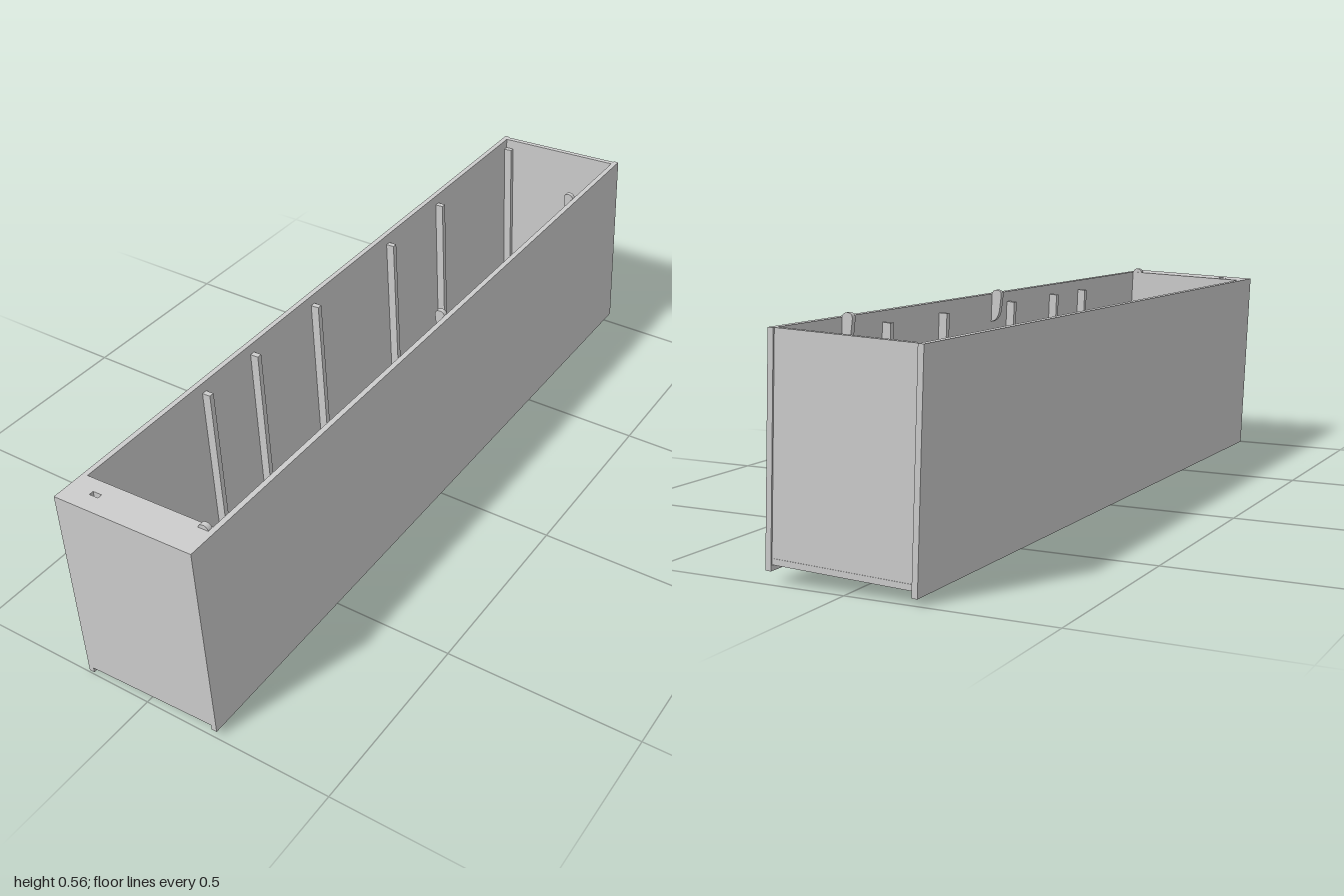
import * as THREE from 'three';

const W = 0.374, H = 0.52, L = 1.996, T = 0.014; // outer size and board thickness
const material = new THREE.MeshStandardMaterial({ color: 0xcccccc, flatShading: true });

function add(parent, name, geometry, x, y, z) {
  const mesh = new THREE.Mesh(geometry, material);
  mesh.name = name;
  mesh.position.set(x, y, z);
  parent.add(mesh);
  return mesh;
}

// board given by its lower and upper limits on each axis
function board(parent, name, [x0, x1], [y0, y1], [z0, z1]) {
  return add(parent, name, new THREE.BoxGeometry(x1 - x0, y1 - y0, z1 - z0),
    (x0 + x1) / 2, (y0 + y1) / 2, (z0 + z1) / 2);
}

// small hook plate with a rounded head and a tapered foot, against the wall at x = 0
function hookGeometry() {
  const s = new THREE.Shape();
  s.moveTo(0, 0.447);
  s.lineTo(0, 0.522);
  s.quadraticCurveTo(-0.004, 0.531, -0.012, 0.531);
  s.quadraticCurveTo(-0.027, 0.531, -0.027, 0.518);
  s.lineTo(-0.023, 0.475);
  s.quadraticCurveTo(-0.018, 0.45, 0, 0.447);
  return new THREE.ExtrudeGeometry(s, { depth: 0.013, bevelEnabled: false, curveSegments: 6 });
}

// lid of the front compartment with a small finger slot
function lidGeometry(width, depth) {
  const s = new THREE.Shape();
  s.moveTo(0, 0).lineTo(width, 0).lineTo(width, depth).lineTo(0, depth).closePath();
  const slot = new THREE.Path();
  slot.moveTo(0.048, 0.03).lineTo(0.048, 0.042).lineTo(0.072, 0.042).lineTo(0.072, 0.03).closePath();
  s.holes.push(slot);
  const g = new THREE.ExtrudeGeometry(s, { depth: T, bevelEnabled: false });
  return g.rotateX(-Math.PI / 2);
}

export function createModel() {
  const model = new THREE.Group();
  const box = new THREE.Group();
  box.name = 'longBox';
  model.add(box);

  const inX = W / 2 - T, end = L / 2;
  const inside = [-inX, inX];

  // long walls, reaching below the floor
  board(box, 'leftWall', [inX, W / 2], [0, H], [-end, end]);
  board(box, 'rightWall', [-W / 2, -inX], [0, H], [-end, end]);

  // floor, end panels and inner partition
  board(box, 'floor', inside, [T, 2 * T], [-end + 0.003, end - T]);
  board(box, 'frontPanel', inside, [T, H], [end - T, end]);
  board(box, 'backPanel', inside, [T, H], [-end + 0.004, -end + 0.004 + T]);
  board(box, 'partition', inside, [2 * T, H], [0.906, 0.92]);

  // lid over the front compartment
  const lidDepth = end - T - 0.92;
  add(box, 'compartmentLid', lidGeometry(2 * inX, lidDepth), -inX, H - T, end - T);

  // upright ribs on both long walls
  for (const z of [-0.974, -0.57, -0.31, 0.05, 0.31, 0.5]) {
    for (const side of [-1, 1]) {
      add(box, side > 0 ? 'leftRib' : 'rightRib',
        new THREE.BoxGeometry(0.022, 0.465, 0.014), side * (inX - 0.011), 0.2605, z);
    }
  }

  // hooks along the left wall
  const hook = hookGeometry();
  for (const z of [-0.738, -0.036, 0.916]) add(box, 'hook', hook, inX, 0, z - 0.0065);

  // the whole box leans slightly and rises to the back
  box.rotation.set(0.0075, 0, 0.041);
  box.position.set(0.01, 0.0152, -0.002);
  return model;
}
